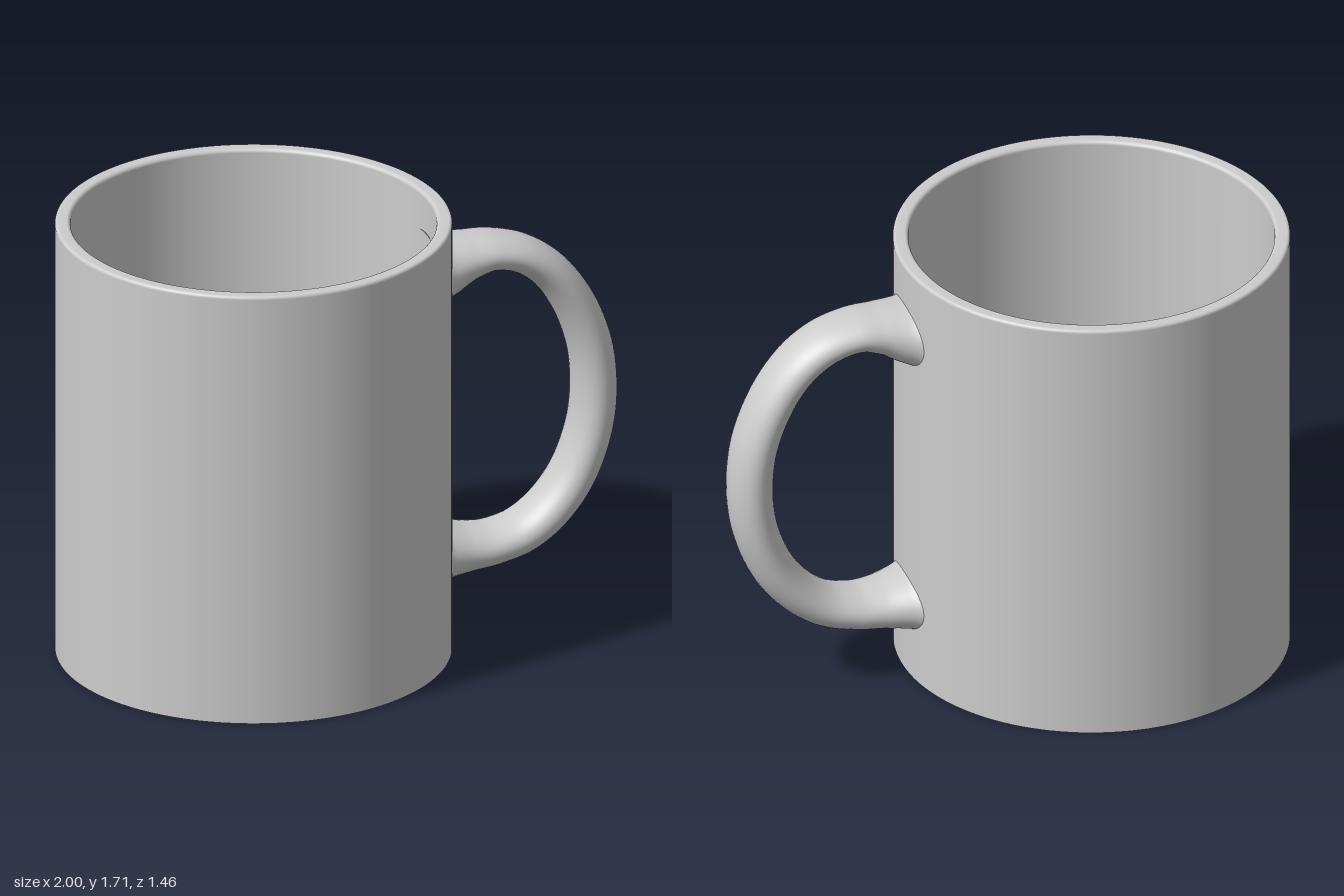
import * as THREE from 'three';
import { ParametricGeometry } from 'three/addons/geometries/ParametricGeometry.js';

const R = 0.732, INNER = 0.675, H = 1.705, FLOOR = 0.08;

// Cup profile from the underside centre, over the rim, to the inside floor centre.
// Repeated points keep an edge sharp.
function cupProfile() {
  const pts = [[0, 0], [R, 0], [R, 0], [R, H - 0.012], [R, H - 0.012]];
  const arc = (cx, cy, r, from, to, n) => {
    for (let i = 0; i <= n; i++) {
      const a = from + (to - from) * i / n;
      pts.push([cx + r * Math.cos(a), cy + r * Math.sin(a)]);
    }
  };
  arc(R - 0.012, H - 0.012, 0.012, 0, Math.PI / 2, 5);            // outer lip
  arc(INNER + 0.015, H - 0.015, 0.015, Math.PI / 2, Math.PI, 5);  // inner lip
  arc(INNER - 0.03, FLOOR + 0.03, 0.03, 0, -Math.PI / 2, 6);      // floor fillet
  pts.push([0, FLOOR]);
  return pts.map(([x, y]) => new THREE.Vector2(x, y));
}

// Handle stations: distance from cup axis, height, half thickness, half width
const STATIONS = [
  [0.69, 1.425, 0.135, 0.190],
  [0.74, 1.432, 0.115, 0.163],
  [0.83, 1.452, 0.087, 0.138],
  [0.93, 1.460, 0.070, 0.129],
  [1.05, 1.425, 0.070, 0.124],
  [1.16, 1.340, 0.074, 0.121],
  [1.25, 1.205, 0.079, 0.119],
  [1.31, 1.040, 0.082, 0.119],
  [1.328, 0.870, 0.083, 0.119],
  [1.31, 0.700, 0.083, 0.119],
  [1.25, 0.535, 0.082, 0.119],
  [1.16, 0.410, 0.080, 0.121],
  [1.05, 0.327, 0.078, 0.124],
  [0.93, 0.293, 0.078, 0.129],
  [0.83, 0.289, 0.087, 0.138],
  [0.74, 0.294, 0.106, 0.163],
  [0.69, 0.298, 0.122, 0.190],
];

// Oval section swept along the handle curve, flaring where it meets the cup
function handleGeometry() {
  const curve = (f) => new THREE.CatmullRomCurve3(STATIONS.map(f), false, 'catmullrom', 0.5);
  const path = curve(([r, y]) => new THREE.Vector3(r, y, 0));
  const size = curve(([, , a, b]) => new THREE.Vector3(a, b, 0));
  return new ParametricGeometry((u, v, target) => {
    const p = path.getPoint(u), t = path.getTangent(u), s = size.getPoint(u);
    const c = s.x * Math.cos(v * Math.PI * 2);
    target.set(p.x + t.y * c, p.y - t.x * c, s.y * Math.sin(v * Math.PI * 2));
  }, 96, 40);
}

export function createModel() {
  const group = new THREE.Group();
  group.name = 'mug';
  const ceramic = new THREE.MeshStandardMaterial({ color: 0xcccccc });
  ceramic.name = 'light grey ceramic';

  const cup = new THREE.Mesh(new THREE.LatheGeometry(cupProfile(), 128), ceramic);
  cup.name = 'cup';

  const handle = new THREE.Mesh(handleGeometry(), ceramic);
  handle.name = 'handle';
  handle.rotation.y = THREE.MathUtils.degToRad(27.7);

  // The cup sits left of centre so that cup and handle together are centred
  for (const part of [cup, handle]) {
    part.position.x = R - 1;
    group.add(part);
  }
  return group;
}
